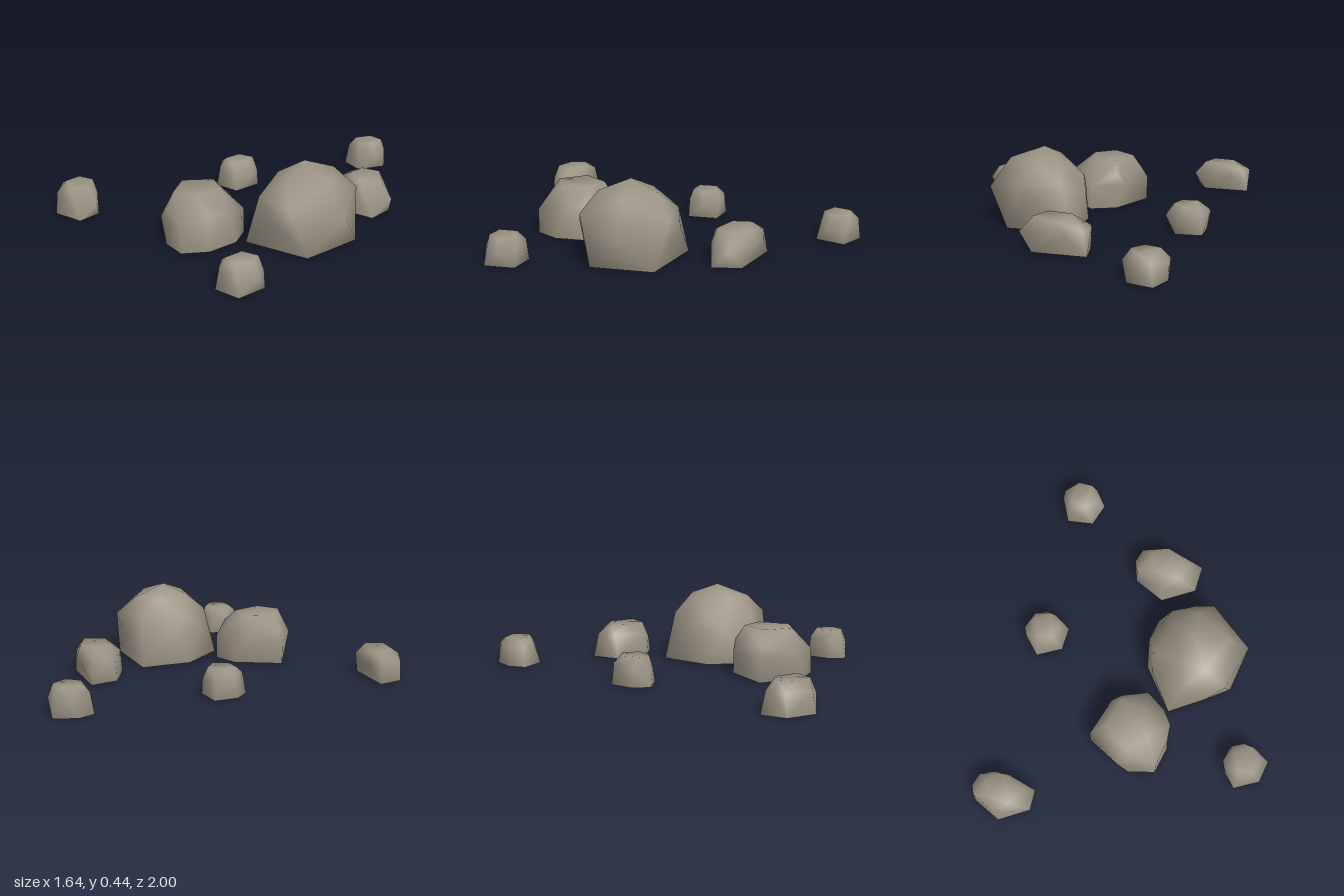
import * as THREE from 'three';
import { mergeVertices } from 'three/addons/utils/BufferGeometryUtils.js';
import { ConvexGeometry } from 'three/addons/geometries/ConvexGeometry.js';

// Smooth boulder shell around a few [x, y, z] corners, open underneath
function shell(corners) {
  const hull = new ConvexGeometry(corners.map(c => new THREE.Vector3(...c)));
  const p = hull.attributes.position;
  const kept = [];
  for (let i = 0; i < p.count; i += 3) {
    if (Math.max(p.getY(i), p.getY(i + 1), p.getY(i + 2)) < 1e-4) continue;
    for (let j = i; j < i + 3; j++) kept.push(p.getX(j), p.getY(j), p.getZ(j));
  }
  const open = new THREE.BufferGeometry();
  open.setAttribute('position', new THREE.Float32BufferAttribute(kept, 3));
  const geometry = mergeVertices(open, 1e-4);
  geometry.computeVertexNormals();
  return geometry;
}

// Corners of one level: [x, z] pairs at height y
const level = (y, pairs) => pairs.map(([x, z]) => [x, y, z]);
// Repeat corners on the other side of z = 0
const mirror = corners => corners.flatMap(([x, y, z]) => (z ? [[x, y, z], [x, y, -z]] : [[x, y, z]]));

export function createModel() {
  const group = new THREE.Group();
  const stone = new THREE.MeshStandardMaterial({ color: 0x9a9284, side: THREE.DoubleSide });
  stone.name = 'stone';

  // Peaked boulder: five-sided base, wider belt, shoulders and apex
  const large = shell(mirror([
    ...level(0, [[0.67, 0.175], [0.3, 0.278], [0.205, 0]]),
    ...level(0.2, [[0.775, 0], [0.5, 0.278], [0.22, 0.1]]),
    ...level(0.27, [[0.6, 0.245], [0.36, 0.235], [0.23, 0]]),
    ...level(0.375, [[0.65, 0], [0.5, 0.17], [0.36, 0.1]]),
    [0.455, 0.44, 0],
  ]));

  // Flat-topped boulder
  const medium = shell(mirror([
    ...level(0, [[-0.155, 0], [0.04, 0.2], [0.19, 0.215], [0.27, 0.09]]),
    ...level(0.14, [[-0.16, 0], [-0.02, 0.185], [0.19, 0.213]]),
    ...level(0.2, [[0.29, 0], [0.265, 0.085], [-0.125, 0], [0.04, 0.19]]),
    ...level(0.28, [[-0.07, 0], [0.03, 0.135], [0.16, 0.085]]),
  ]));

  // Pebble
  const small = shell([
    ...level(0, [[0.08, 0.09], [-0.07, 0.115], [-0.11, 0.02], [-0.07, -0.11], [0.08, -0.08]]),
    ...level(0.09, [[0.13, 0], [0.01, 0.1], [0.01, -0.115], [0.06, -0.09]]),
    ...level(0.12, [[-0.12, 0.03], [-0.125, -0.02], [-0.06, 0.095], [-0.06, -0.1]]),
    ...level(0.16, [[0.08, 0], [0.03, 0.07], [-0.06, 0.05], [-0.06, -0.05], [0.03, -0.08]]),
  ]);

  // Elongated stone
  const long = shell([
    ...level(0, [[0.13, 0.09], [-0.05, 0.13], [-0.17, 0.01], [-0.15, -0.13], [0.11, -0.05]]),
    ...level(0.09, [[0.17, 0], [0.04, 0.11], [-0.05, -0.125], [0.03, -0.1]]),
    ...level(0.12, [[-0.17, 0], [-0.175, -0.05], [-0.06, 0.11], [-0.13, -0.11]]),
    ...level(0.165, [[0.1, 0], [0.03, 0.08], [-0.08, 0.03], [-0.09, -0.06], [0, -0.09]]),
  ]);

  // name, geometry, x, z, scale, turn
  const rocks = [
    ['largeBoulder', large, 0, 0.178, 1, 0],
    ['mediumBoulder', medium, 0, 0.587, 1, 0],
    ['leftPebble', small, 0.69, 0.813, 1, 0],
    ['rightPebble', small, -0.36, -0.06, 1, 0],
    ['backPebble', small, -0.085, -0.87, 1, -0.36],
    ['frontLongStone', long, -0.65, 0.87, 1, 0],
    ['backLongStone', long, 0.385, -0.375, 1.14, 0],
  ];
  for (const [name, geometry, x, z, scale, turn] of rocks) {
    const rock = new THREE.Mesh(geometry, stone);
    rock.name = name;
    rock.position.set(x, 0, z);
    rock.scale.setScalar(scale);
    rock.rotation.y = turn;
    group.add(rock);
  }
  return group;
}
